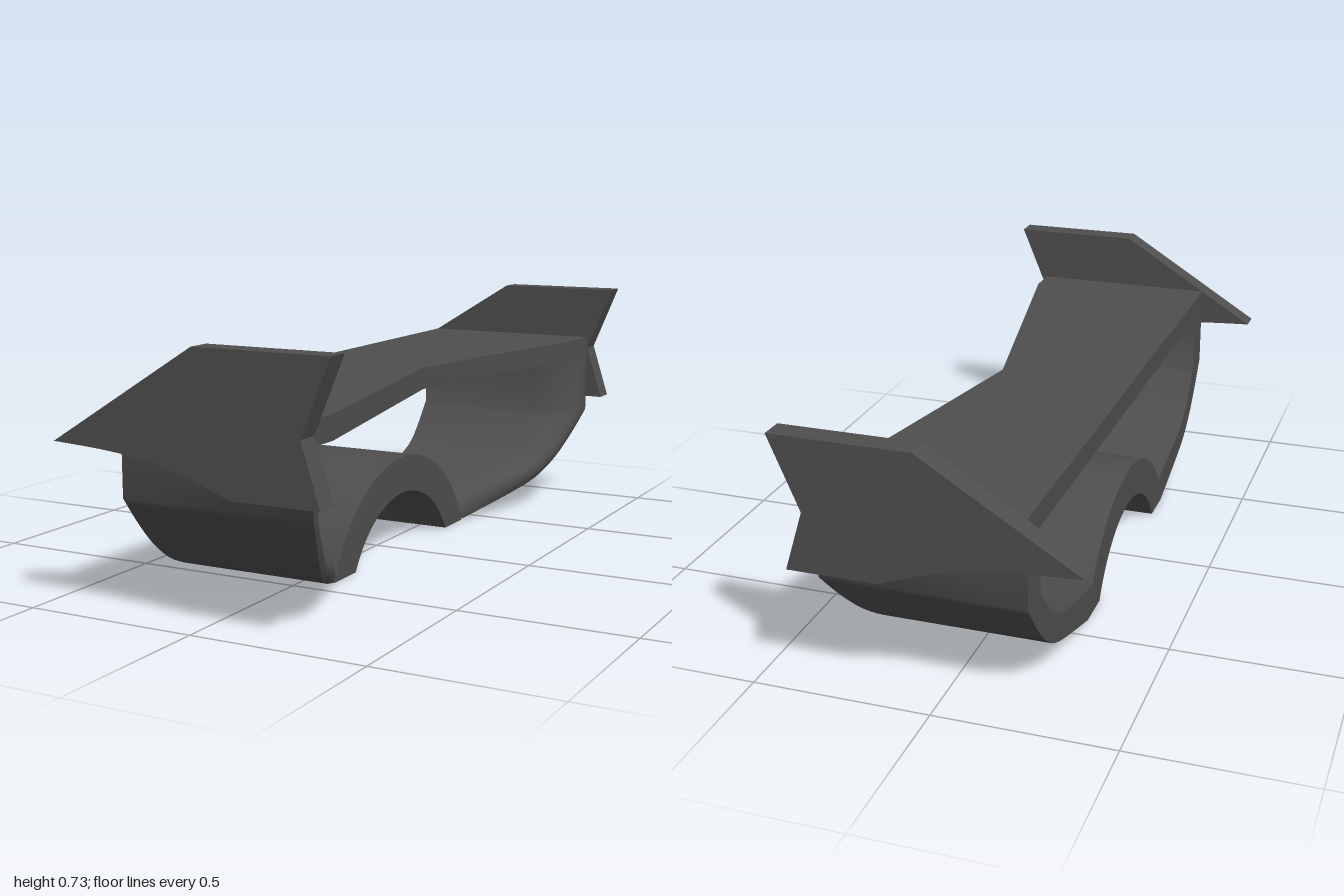
import * as THREE from 'three';
import { toCreasedNormals } from 'three/addons/utils/BufferGeometryUtils.js';

const material = new THREE.MeshStandardMaterial({ color: 0x4e4e4e });
const BACK = -0.243;  // trailing edge shared by deck, arms and arch
const FRONT = 0.323;  // leading edge at the outer walls
const ARCH_FRONT = 0.09;
const ROUND = 0.15;   // depth of the rounded leading edge of the arms

const { lerp } = THREE.MathUtils;
const v2 = ([x, y]) => new THREE.Vector2(x, y);

function extrude(shape, depth) {
  return new THREE.ExtrudeGeometry(shape, { depth, bevelEnabled: false, curveSegments: 32 });
}

function part(name, geometry, crease = 0.5) {
  const mesh = new THREE.Mesh(toCreasedNormals(geometry, crease), material);
  mesh.name = name;
  return mesh;
}

// Flat deck with a shallow V notch in its leading edge
function deck() {
  const shape = new THREE.Shape([
    [BACK, -0.935], [FRONT, -0.935], [FRONT, -0.84], [0.155, 0],
    [FRONT, 0.84], [FRONT, 0.935], [BACK, 0.935],
  ].map(v2));
  return part('deck', extrude(shape, 0.065).rotateX(-Math.PI / 2).translate(0, 0.495, 0));
}

// Arch: a band between two concentric arcs, cut flat at the ground
function arch() {
  const cy = -0.17, outer = 0.455, inner = 0.345;
  const a = Math.asin(-cy / outer), b = Math.asin(-cy / inner);
  const shape = new THREE.Shape();
  shape.absarc(0, cy, outer, a, Math.PI - a, false);
  shape.absarc(0, cy, inner, Math.PI - b, b, true);
  const geometry = extrude(shape, ARCH_FRONT - BACK).rotateY(Math.PI / 2);
  return part('centreArch', geometry.translate(BACK, 0, 0));
}

// Arm: upright wall flowing into a swept curve, rounded on its inner leading edge
function arm() {
  const path = (top, points) =>
    [v2(top), ...new THREE.SplineCurve(points.map(v2)).getPoints(16)];
  const outer = path([0.935, 0.51],
    [[0.935, 0.31], [0.865, 0.22], [0.785, 0.14], [0.68, 0.08], [0.425, 0.002]]);
  const inner = path([0.837, 0.51],
    [[0.837, 0.31], [0.74, 0.2], [0.65, 0.152], [0.53, 0.12], [0.365, 0.088]]);

  // each cross-section: outer face, rounded leading edge, inner face
  const positions = [], indices = [];
  const steps = 12, ring = steps + 3;
  outer.forEach((o, i) => {
    const lead = lerp(ARCH_FRONT, FRONT, (o.x - 0.425) / 0.51);
    const add = (x, w) =>
      positions.push(x, lerp(o.y, inner[i].y, w), -lerp(o.x, inner[i].x, w));
    add(BACK, 0);
    for (let k = 0; k <= steps; k++) {
      const t = (k / steps) * Math.PI / 2;
      add(lead - ROUND * (1 - Math.cos(t)), Math.sin(t));
    }
    add(BACK, 1);
    if (i === 0) return;
    for (let j = 0; j < ring; j++) {
      const a = (i - 1) * ring + j, b = (i - 1) * ring + (j + 1) % ring;
      indices.push(a, b, a + ring, b, b + ring, a + ring);
    }
  });
  const geometry = new THREE.BufferGeometry();
  geometry.setAttribute('position', new THREE.Float32BufferAttribute(positions, 3));
  geometry.setIndex(indices);
  return part('curvedArm', geometry, 0.8);
}

// Pointed end plate with a notched leading edge and curved lower edge
function endPlate() {
  const shape = new THREE.Shape([
    [0.125, 0.356], [0.378, 0.356], [0.325, 0.523],
    [0.408, 0.725], [0.022, 0.725], [-0.408, 0.457],
  ].map(v2));
  shape.splineThru([[-0.24, 0.447], [-0.1, 0.428], [0.02, 0.396], [0.125, 0.356]].map(v2));
  return part('endPlate', extrude(shape, 0.066).translate(0, 0, -1));
}

export function createModel() {
  const model = new THREE.Group();
  model.name = 'wing';
  model.add(deck(), arch());
  for (const [name, side] of [['backSide', 1], ['frontSide', -1]]) {
    const group = new THREE.Group();
    group.name = name;
    group.add(arm(), endPlate());
    group.scale.z = side;
    model.add(group);
  }
  return model;
}
